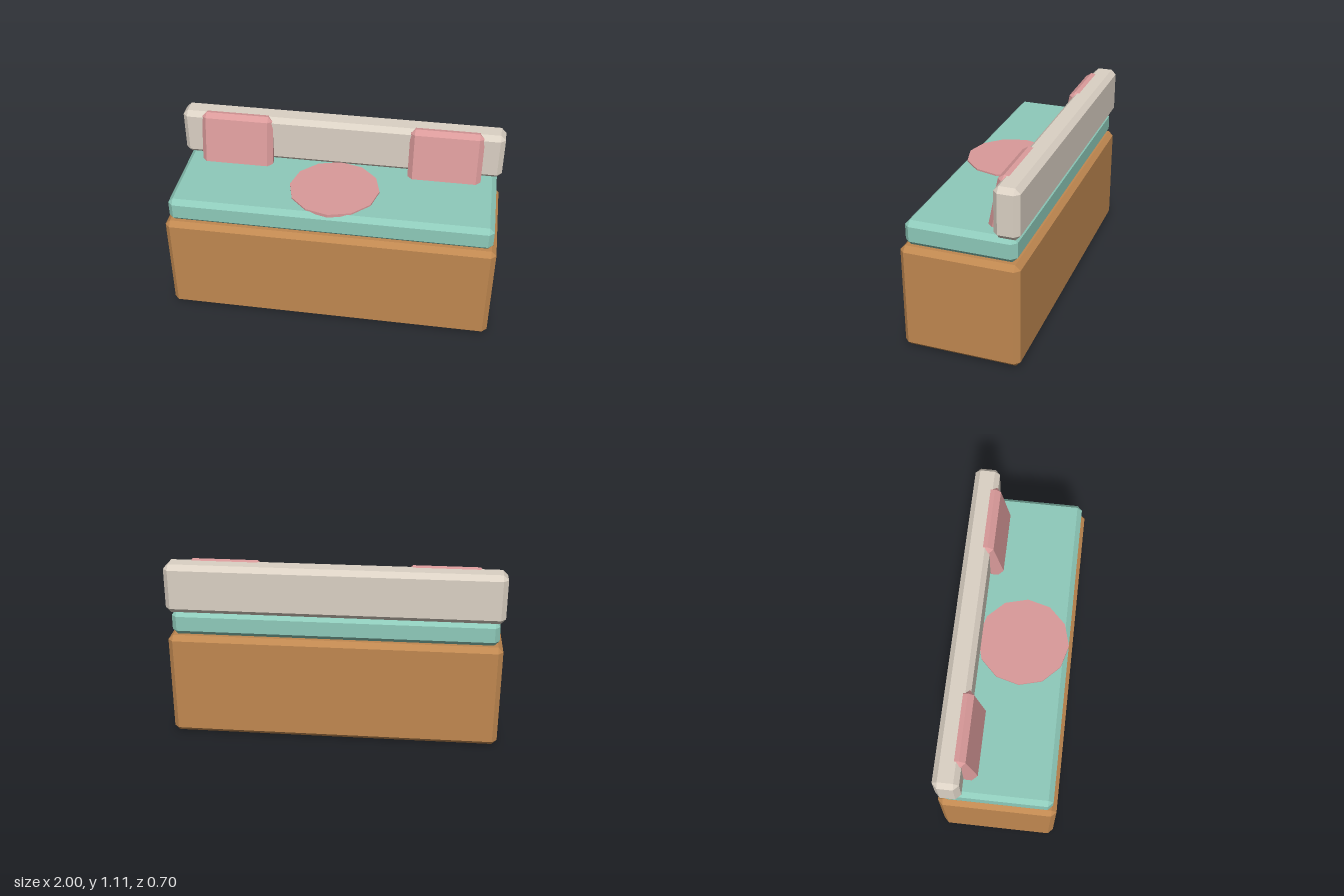
import * as THREE from 'three';
import { ConvexGeometry } from 'three/addons/geometries/ConvexGeometry.js';

function makeMaterial(name, color) {
  const material = new THREE.MeshStandardMaterial({ color });
  material.name = name;
  return material;
}

// Box with flat bevels on every edge and corner
function chamferBox(width, height, depth, bevel) {
  const half = [width / 2, height / 2, depth / 2];
  const points = [];
  for (const sx of [-1, 1]) for (const sy of [-1, 1]) for (const sz of [-1, 1]) {
    const sign = [sx, sy, sz];
    for (let axis = 0; axis < 3; axis++) {
      const p = half.map((h, i) => sign[i] * (i === axis ? h : h - bevel));
      points.push(new THREE.Vector3(...p));
    }
  }
  return new ConvexGeometry(points);
}

export function createModel() {
  const group = new THREE.Group();
  group.name = 'benchSeat';

  const wood = makeMaterial('wood', 0xc08850);
  const teal = makeMaterial('teal fabric', 0x8ecaba);
  const cream = makeMaterial('cream fabric', 0xdbd1c4);
  const pink = makeMaterial('pink fabric', 0xda9a9a);
  for (const material of [wood, teal, cream, pink]) material.flatShading = true;

  const add = (name, geometry, material, x, y, z) => {
    const mesh = new THREE.Mesh(geometry, material);
    mesh.name = name;
    mesh.position.set(x, y, z);
    group.add(mesh);
    return mesh;
  };

  // Solid base, seat cushion and backrest
  add('base', chamferBox(2, 0.65, 0.7, 0.03), wood, 0, 0.325, 0);
  add('seatCushion', chamferBox(1.95, 0.15, 0.65, 0.03), teal, 0, 0.725, 0);
  add('backrest', chamferBox(2, 0.3, 0.15, 0.03), cream, 0, 0.95, -0.275);

  // Pillows leaning against the backrest
  for (const side of [-1, 1]) {
    const pillow = add(side > 0 ? 'leftPillow' : 'rightPillow',
      chamferBox(0.45, 0.45, 0.1, 0.03), pink, side * 0.65, 0.881, -0.19);
    pillow.rotation.x = -0.2;
  }

  // Round mat lying on the seat
  add('roundMat', new THREE.CylinderGeometry(0.275, 0.275, 0.02, 12), pink, 0, 0.8, 0.05);

  return group;
}
